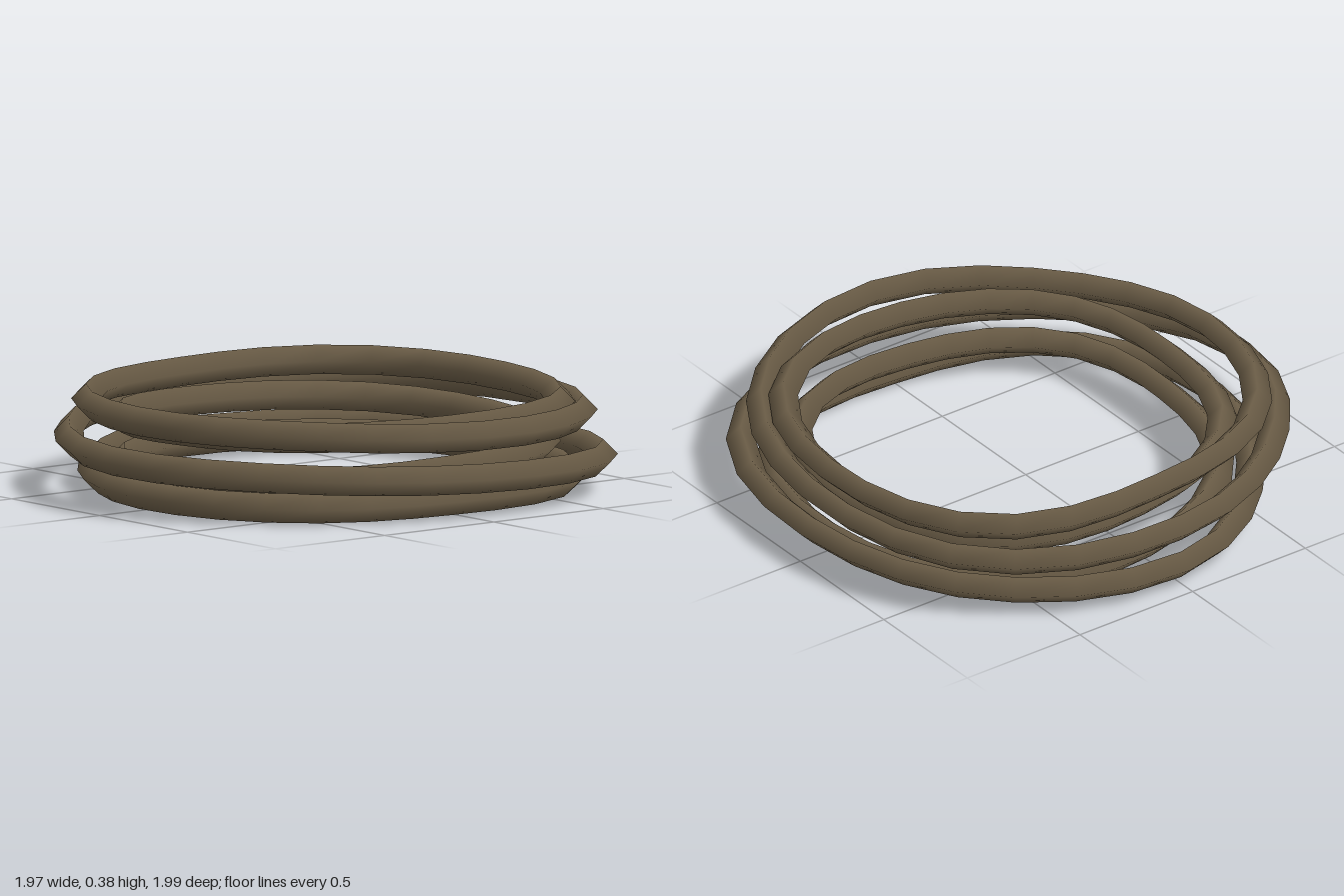
import * as THREE from 'three';

const TURNS = 5, STEPS = 28, SIDES = 4;
const TUBE = 0.053, MID_Y = 0.189, RISE = 0.138;

// Distance from the axis every 45 degrees, over half of the closed coil
const HALF = [0.94, 0.885, 0.93, 1.02, 0.945, 0.945, 0.93, 0.81, 0.82, 0.825,
  0.78, 0.91, 0.86, 0.86, 0.75, 0.70, 0.64, 0.71, 0.71, 0.81, 0.80];

// The second half mirrors the first
const radii = [...HALF, ...HALF.slice(1, -1).reverse()];
const radiusCurve = new THREE.CatmullRomCurve3(
  radii.map((r) => new THREE.Vector3(r, 0, 0)), true, 'catmullrom', 0.5);

// Endless rope: a diamond section swept through five interlocked turns
function ropeGeometry() {
  const count = TURNS * STEPS, pos = [], index = [];
  for (let i = 0; i < count; i++) {
    const t = i / count;
    const angle = t * TURNS * Math.PI * 2;
    const r = radiusCurve.getPoint(t).x;
    const y = MID_Y - RISE * Math.sin(t * Math.PI * 2);
    for (let j = 0; j < SIDES; j++) {
      const a = (j / SIDES) * Math.PI * 2;
      const d = r + TUBE * Math.cos(a);
      pos.push(d * Math.sin(angle), y + TUBE * Math.sin(a), d * Math.cos(angle));
      const i2 = (i + 1) % count, j2 = (j + 1) % SIDES;
      const p = i * SIDES + j, q = i2 * SIDES + j;
      const s = i2 * SIDES + j2, u = i * SIDES + j2;
      index.push(p, q, s, p, s, u);
    }
  }
  const geo = new THREE.BufferGeometry();
  geo.setAttribute('position', new THREE.Float32BufferAttribute(pos, 3));
  geo.setIndex(index);
  geo.computeVertexNormals();
  return geo;
}

export function createModel() {
  const group = new THREE.Group();
  group.name = 'ropeCoil';
  const brown = new THREE.MeshStandardMaterial({ color: 0x6b5d47 });
  brown.name = 'rope brown';
  const rope = new THREE.Mesh(ropeGeometry(), brown);
  rope.name = 'coiledRope';
  group.add(rope);
  return group;
}
